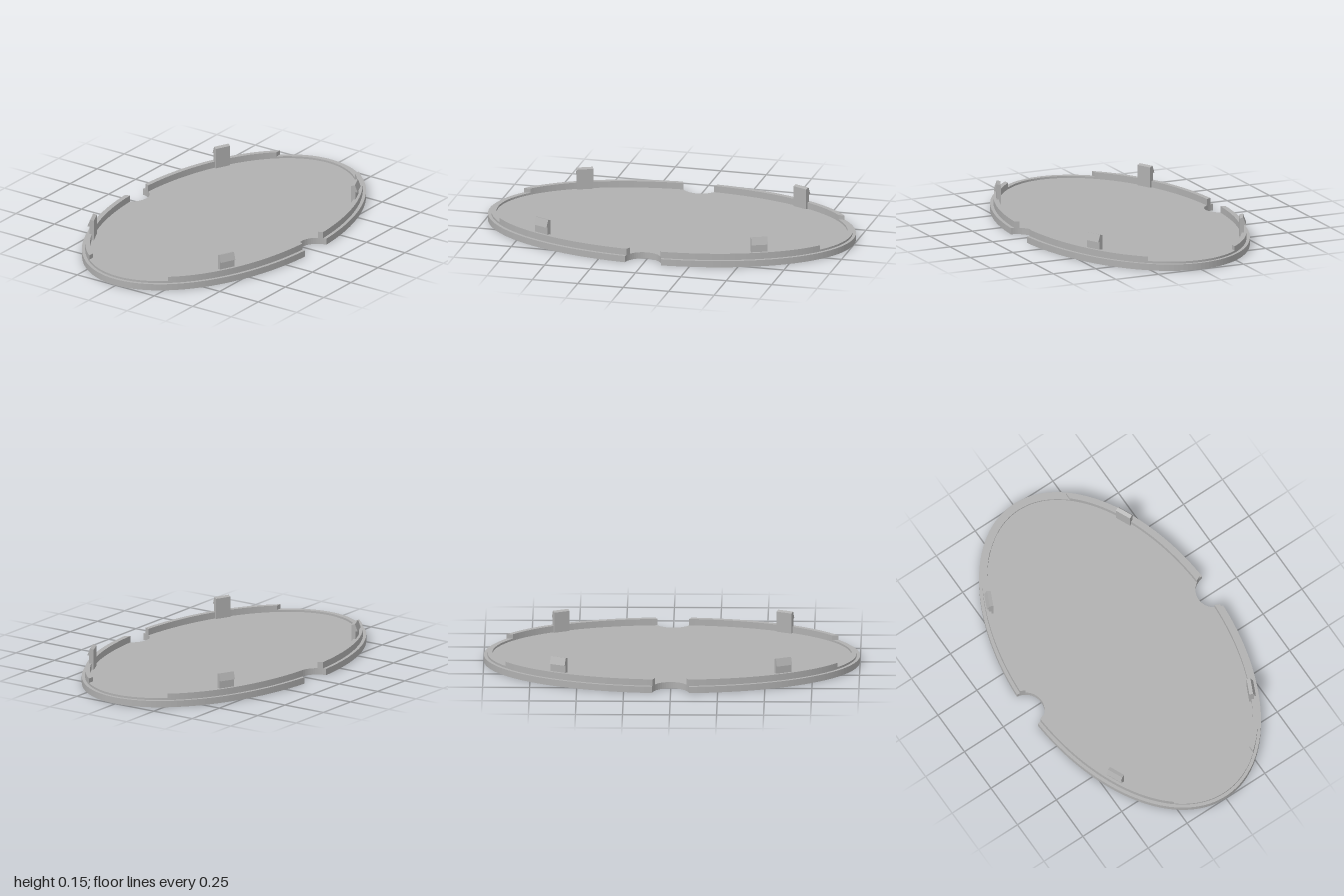
import * as THREE from 'three';

const NOTCH_Z = 0.606, NOTCH_R = 0.1;
const BASE = { a: 1, b: 0.598 };
const RIM_OUT = { a: 0.982, b: 0.58 };
const RIM_IN = { a: 0.955, b: 0.553 };
const STEP_Z = 0.255, BASE_TOP = 0.035;

const onEllipse = (e, t) => new THREE.Vector2(e.a * Math.cos(t), e.b * Math.sin(t));

// Parameter in the first quadrant where an ellipse meets the notch circle
function notchParam(e) {
  let lo = Math.PI / 4, hi = Math.PI / 2;
  for (let i = 0; i < 40; i++) {
    const mid = (lo + hi) / 2, p = onEllipse(e, mid);
    if (Math.hypot(p.x, p.y - NOTCH_Z) > NOTCH_R) lo = mid; else hi = mid;
  }
  return lo;
}

const stepParam = (e) => Math.asin(STEP_Z / e.b);

function arc(e, t0, t1, n) {
  return Array.from({ length: n + 1 }, (_, i) => onEllipse(e, t0 + (t1 - t0) * i / n));
}

// Extrude a plan outline upward from y0 to y1
function slab(points, y0, y1) {
  const g = new THREE.ExtrudeGeometry(new THREE.Shape(points), { depth: y1 - y0, bevelEnabled: false });
  return g.rotateX(-Math.PI / 2).translate(0, y0, 0);
}

// Piece of the rim between two parameters given per ellipse
function rimPiece(from, to, y1, n) {
  return slab([
    ...arc(RIM_OUT, from(RIM_OUT), to(RIM_OUT), n),
    ...arc(RIM_IN, to(RIM_IN), from(RIM_IN), n),
  ], BASE_TOP - 0.005, y1);
}

// Oval plate outline with a round notch at the middle of each long side
function plateOutline() {
  const t = notchParam(BASE), end = onEllipse(BASE, t);
  const a0 = Math.atan2(end.y - NOTCH_Z, end.x);
  const notch = Array.from({ length: 23 }, (_, i) => {
    const a = a0 + (-Math.PI - 2 * a0) * (i + 1) / 24;
    return new THREE.Vector2(NOTCH_R * Math.cos(a), NOTCH_Z + NOTCH_R * Math.sin(a));
  });
  const half = [...arc(BASE, -t, t, 72), ...notch];
  return [...half, ...half.map((p) => new THREE.Vector2(-p.x, -p.y))];
}

export function createModel() {
  const model = new THREE.Group();
  model.name = 'ovalCover';
  const grey = new THREE.MeshStandardMaterial({ color: 0xb0b0b0 });
  grey.name = 'grey';
  const add = (name, geometry, parent = model) => {
    const mesh = new THREE.Mesh(geometry, grey);
    mesh.name = name;
    parent.add(mesh);
    return mesh;
  };

  add('basePlate', slab(plateOutline(), 0, BASE_TOP));

  // Low rim at the two narrow ends
  const lowRim = rimPiece((e) => -stepParam(e), stepParam, 0.046, 24);
  add('lowRimLeft', lowRim);
  add('lowRimRight', lowRim).rotation.y = Math.PI;

  // Tall rim in four pieces between the steps and the notches
  const tallRims = [
    rimPiece(stepParam, notchParam, 0.07, 32),
    rimPiece((e) => -notchParam(e), (e) => -stepParam(e), 0.07, 32),
  ];
  for (const g of tallRims) {
    add('tallRim', g);
    add('tallRim', g).rotation.y = Math.PI;
  }

  // Snap clips: upright tab with an outward wedge hook, profile in (depth, height)
  const profile = new THREE.Shape([
    [-0.012, 0.03], [0.012, 0.03], [0.012, 0.112], [0.023, 0.112], [0.008, 0.152], [-0.012, 0.146],
  ].map(([x, y]) => new THREE.Vector2(x, y)));
  const clip = new THREE.ExtrudeGeometry(profile, { depth: 0.088, bevelEnabled: false });
  clip.translate(0, 0, -0.044).rotateY(-Math.PI / 2);
  const turn = 0.43;
  for (const sx of [1, -1]) {
    for (const sz of [1, -1]) {
      const mesh = add('snapClip', clip);
      mesh.position.set(sx * 0.595, 0, sz * 0.432);
      mesh.rotation.y = sz > 0 ? sx * turn : Math.PI - sx * turn;
    }
  }
  return model;
}
